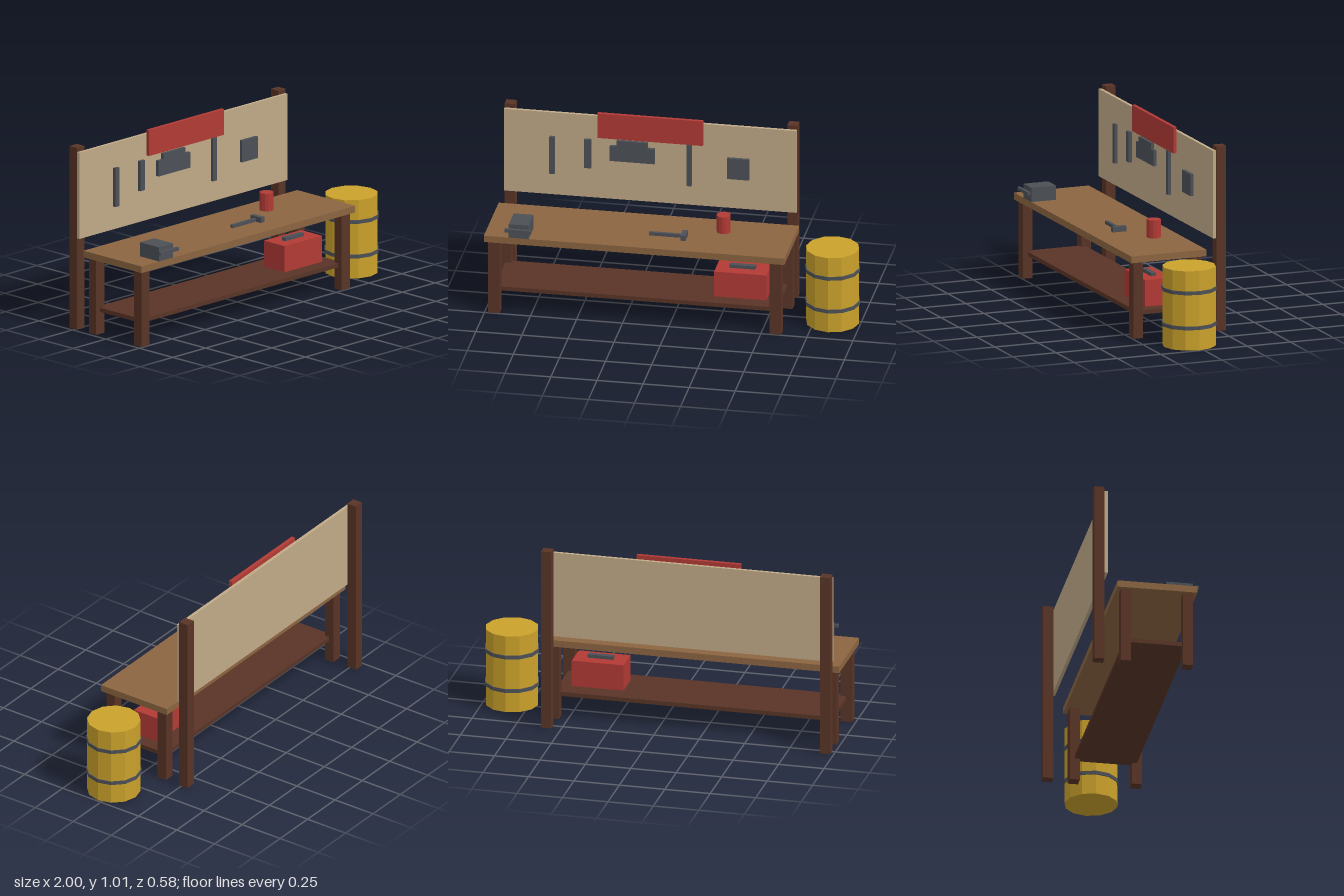
import * as THREE from 'three';

const paint = (name, color) => {
  const m = new THREE.MeshStandardMaterial({ color });
  m.name = name;
  m.flatShading = true;
  return m;
};

export function createModel() {
  const model = new THREE.Group();
  model.name = 'workbench';

  const wood = paint('bench wood', 0x8b6540);
  const darkWood = paint('dark wood', 0x593426);
  const board = paint('pegboard tan', 0xc0aa87);
  const red = paint('red paint', 0xb23a35);
  const steel = paint('dark steel', 0x4c5056);
  const yellow = paint('barrel yellow', 0xcaa12b);

  const add = (name, geometry, material, x, y, z) => {
    const mesh = new THREE.Mesh(geometry, material);
    mesh.name = name;
    mesh.position.set(x, y, z);
    model.add(mesh);
  };
  // Box given by its extents on each axis
  const box = (name, material, [x0, x1], [y0, y1], [z0, z1]) =>
    add(name, new THREE.BoxGeometry(x1 - x0, y1 - y0, z1 - z0), material,
      (x0 + x1) / 2, (y0 + y1) / 2, (z0 + z1) / 2);
  // Upright twelve-sided drum
  const drum = (name, material, x, z, r, y0, y1) =>
    add(name, new THREE.CylinderGeometry(r, r, y1 - y0, 12), material, x, (y0 + y1) / 2, z);

  // Bench
  box('benchTop', wood, [-1, 0.63], [0.42, 0.457], [-0.168, 0.265]);
  for (const x of [[-0.98, -0.918], [0.547, 0.609]])
    for (const z of [[0.19, 0.245], [-0.147, -0.092]])
      box('benchLeg', darkWood, x, [0, 0.42], z);
  box('lowerShelf', darkWood, [-0.95, 0.58], [0.122, 0.145], [-0.12, 0.217]);

  // Tool board on two posts
  for (const x of [[-0.98, -0.924], [0.554, 0.61]])
    box('boardPost', darkWood, x, [0, 1.01], [-0.291, -0.235]);
  box('toolBoard', board, [-0.98, 0.606], [0.508, 0.987], [-0.235, -0.217]);
  box('signPanel', red, [-0.47, 0.102], [0.867, 1.01], [-0.217, -0.197]);

  // Hanging tools
  const hang = [-0.21, -0.192];
  box('hangingChisel', steel, [-0.73, -0.701], [0.638, 0.853], hang);
  box('hangingFile', steel, [-0.542, -0.504], [0.687, 0.853], hang);
  box('hangingSawBlade', steel, [-0.402, -0.16], [0.74, 0.827], hang);
  box('hangingSawHandle', steel, [-0.365, -0.197], [0.827, 0.86], hang);
  box('hangingBar', steel, [0.014, 0.041], [0.627, 0.868], hang);
  box('hangingSquare', steel, [0.235, 0.354], [0.687, 0.807], hang);

  // Vise
  box('viseBody', steel, [-0.865, -0.757], [0.457, 0.535], [0.122, 0.265]);
  box('viseHandle', steel, [-0.884, -0.74], [0.498, 0.516], [0.276, 0.293]);

  // Hammer and can on the bench
  box('hammerHandle', steel, [-0.135, 0.042], [0.457, 0.475], [0.083, 0.1]);
  box('hammerHead', steel, [0.042, 0.07], [0.457, 0.486], [0.06, 0.137]);
  drum('can', red, 0.248, -0.023, 0.038, 0.457, 0.555);

  // Toolbox on the shelf
  box('toolbox', red, [0.225, 0.509], [0.145, 0.29], [-0.02, 0.135]);
  box('toolboxHandle', steel, [0.297, 0.437], [0.29, 0.308], [0.043, 0.071]);

  // Barrel with hoops
  drum('barrel', yellow, 0.848, 0.023, 0.144, 0, 0.434);
  for (const y of [0.122, 0.314])
    drum('barrelHoop', steel, 0.848, 0.023, 0.149, y - 0.01, y + 0.01);

  return model;
}
